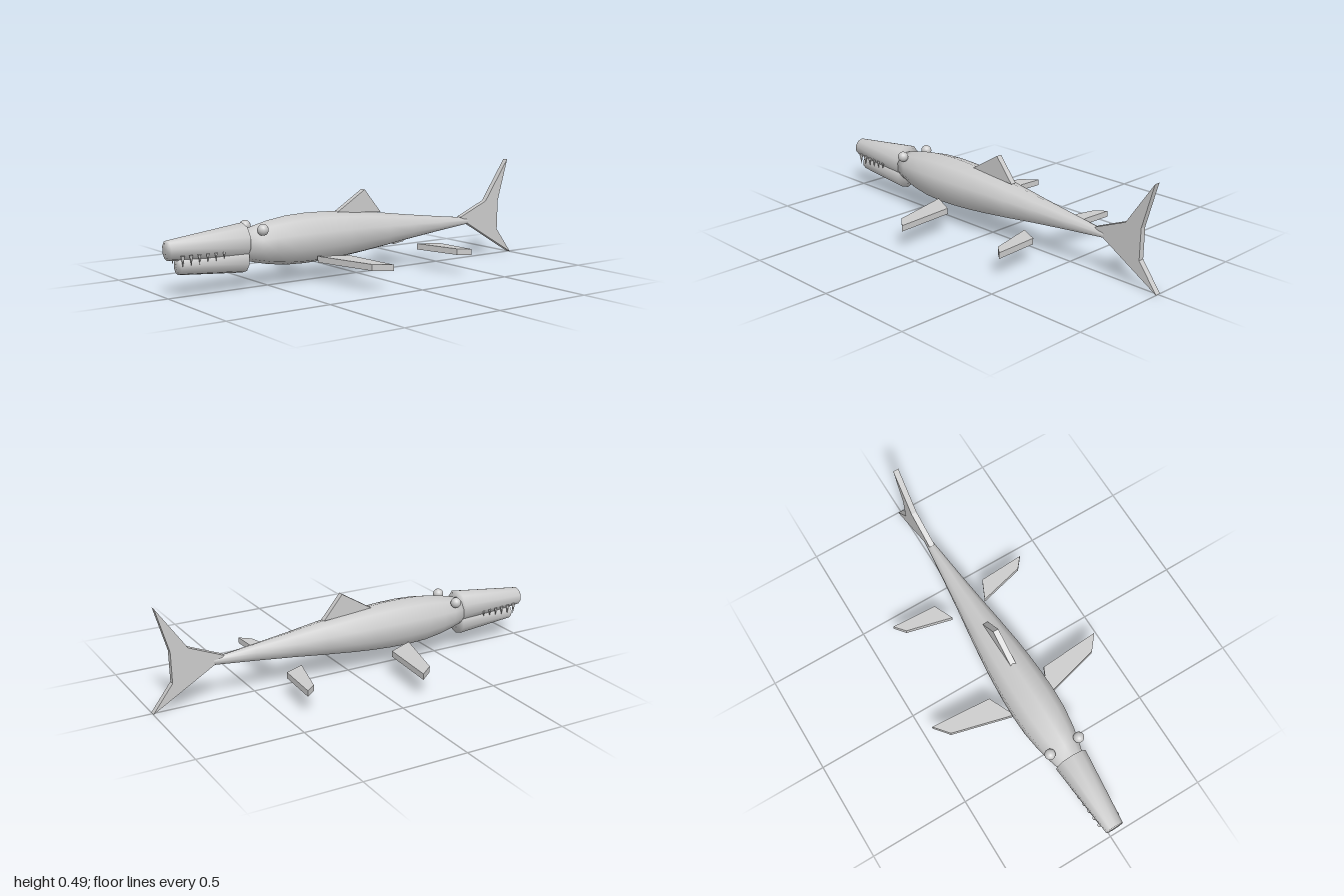
import * as THREE from 'three';

const SIDES = 10;

// Closed tube along z through sections [z, centreY, radius], nose to tail,
// sharing its vertices so shading runs softly over the end caps.
function loft(sections) {
  const pos = [], index = [];
  for (const [z, cy, r] of sections) {
    for (let i = 0; i < SIDES; i++) {
      const a = (i / SIDES) * Math.PI * 2;
      pos.push(-Math.sin(a) * r, cy + Math.cos(a) * r, z);
    }
  }
  for (let s = 0; s < sections.length - 1; s++) {
    for (let i = 0; i < SIDES; i++) {
      const j = (i + 1) % SIDES;
      const a = s * SIDES + i, b = s * SIDES + j;
      index.push(a, a + SIDES, b, b, a + SIDES, b + SIDES);
    }
  }
  // end caps
  const front = pos.length / 3, back = front + 1;
  const first = sections[0], last = sections[sections.length - 1];
  pos.push(0, first[1], first[0], 0, last[1], last[0]);
  const base = (sections.length - 1) * SIDES;
  for (let i = 0; i < SIDES; i++) {
    const j = (i + 1) % SIDES;
    index.push(front, i, j, back, base + j, base + i);
  }
  const g = new THREE.BufferGeometry();
  g.setAttribute('position', new THREE.Float32BufferAttribute(pos, 3));
  g.setIndex(index);
  g.computeVertexNormals();
  return g;
}

// Flat plate of the given thickness, centred on its plane
function plate(points, thickness) {
  const shape = new THREE.Shape(points.map(([x, y]) => new THREE.Vector2(x, y)));
  const g = new THREE.ExtrudeGeometry(shape, { depth: thickness, bevelEnabled: false });
  return g.translate(0, 0, -thickness / 2);
}

// Upright fin from [z, y] points
const uprightFin = (points) =>
  plate(points.map(([z, y]) => [-z, y]), 0.028).rotateY(Math.PI / 2);

// Level flipper from [x, z] points
const flipper = (points, side) =>
  plate(points.map(([x, z]) => [x * side, -z]), 0.029).rotateX(-Math.PI / 2).translate(0, 0.109, 0);

export function createModel() {
  const model = new THREE.Group();
  const material = new THREE.MeshStandardMaterial({ color: 0xcccccc });
  const add = (name, geometry, parent = model) => {
    const mesh = new THREE.Mesh(geometry, material);
    mesh.name = name;
    parent.add(mesh);
  };

  // Body: radius along the length, blunt neck to thin tail stem
  const profile = [
    [0.63, 0.067], [0.57, 0.084], [0.5, 0.1], [0.4, 0.114], [0.3, 0.118], [0.2, 0.116],
    [0.1, 0.11], [0, 0.101], [-0.15, 0.083], [-0.3, 0.063], [-0.5, 0.039], [-0.7, 0.017],
  ];
  add('body', loft(profile.map(([z, r]) => [z, 0.197 - Math.max(0, -z) * 0.01, r])));

  // Jaws: tapered snout halves
  add('upperJaw', loft([[1, 0.21, 0.045], [0.63, 0.218, 0.082]]));
  add('lowerJaw', loft([[0.95, 0.136, 0.038], [0.63, 0.14, 0.067]]));

  // Upright fins
  add('dorsalFin', uprightFin([[0.12, 0.303], [-0.04, 0.4], [-0.137, 0.283]]));
  add('tailFin', uprightFin([
    [-0.65, 0.214], [-0.82, 0.284], [-0.967, 0.493], [-0.905, 0.28],
    [-0.902, 0.13], [-1, 0], [-0.7, 0.176],
  ]));

  // Mirrored parts
  const teeth = new THREE.Group();
  teeth.name = 'teeth';
  model.add(teeth);
  for (const side of [1, -1]) {
    const label = side > 0 ? 'left' : 'right';
    add(label + 'Eye', new THREE.SphereGeometry(0.026, 16, 12).translate(0.078 * side, 0.27, 0.568));
    add(label + 'FrontFlipper',
      flipper([[0.093, 0.286], [0.4, 0.206], [0.461, 0.132], [0.155, 0.153]], side));
    add(label + 'RearFlipper',
      flipper([[0.093, -0.3], [0.323, -0.358], [0.366, -0.41], [0.138, -0.398]], side));
    // Row of upper teeth, shrinking toward the back
    for (let i = 0; i < 6; i++) {
      const height = 0.052 - i * 0.004;
      const tooth = new THREE.ConeGeometry(0.01 - i * 0.0006, height, 6).rotateX(Math.PI);
      tooth.translate((0.048 + i * 0.0025) * side, 0.188 - height / 2, 0.95 - i * 0.039);
      add(label + 'Tooth' + (i + 1), tooth, teeth);
    }
  }
  return model;
}
